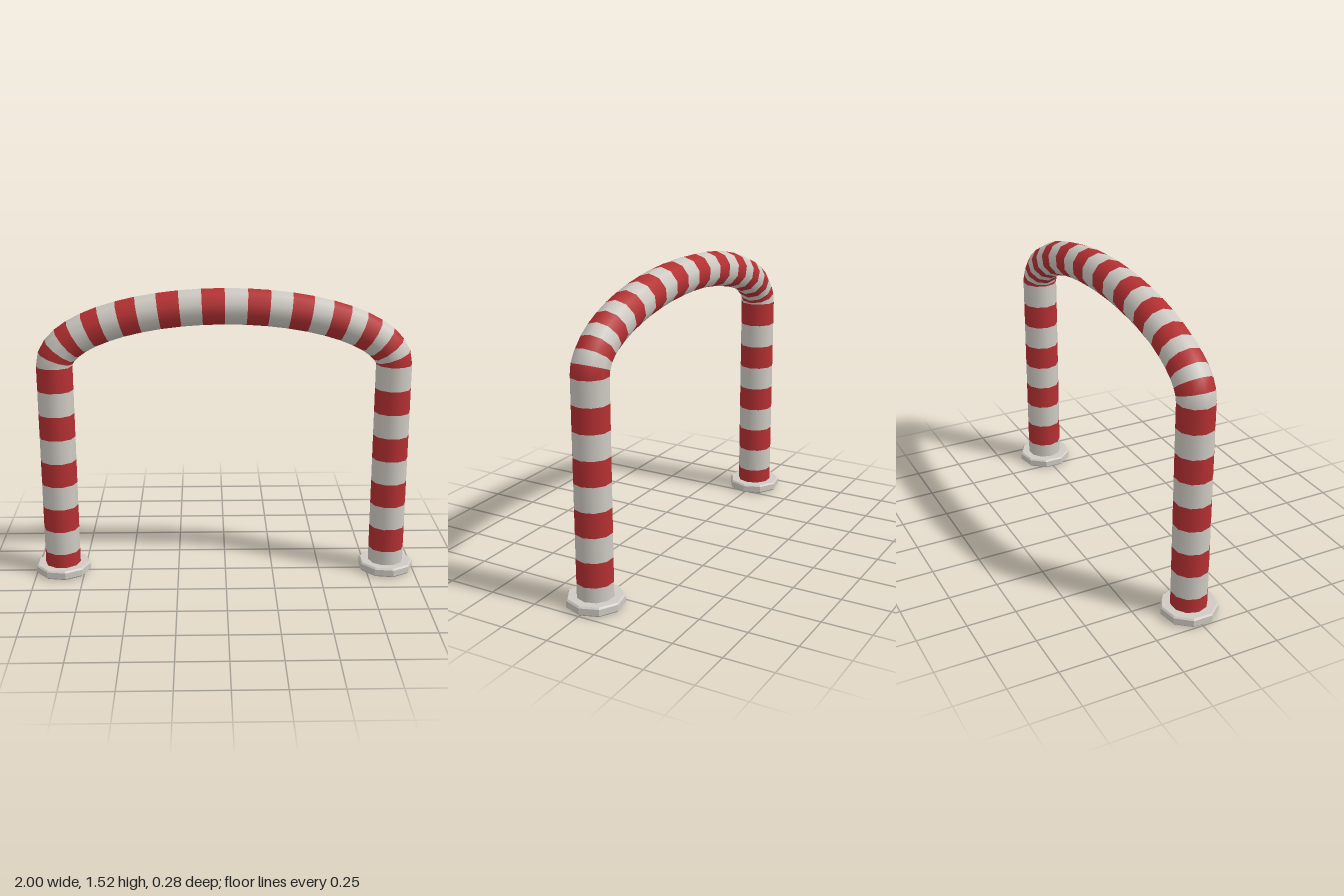
import * as THREE from 'three';

const SIDES = 10, PIPE_R = 0.092;
const LEFT_X = -0.864, RIGHT_X = 0.856;
const MID_X = (LEFT_X + RIGHT_X) / 2, HALF_W = (RIGHT_X - LEFT_X) / 2;
const BAND = 0.125, LEG_BANDS = 9, LEG_H = BAND * LEG_BANDS;
const ARCH_BANDS = 24, ARCH_H = 0.3;

// Sweeps a pipe through rings {x, y, nx, ny}; bands alternate between materials 0 and 1
function stripedPipe(rings, firstBand) {
  const pos = [], nor = [], idx = [];
  for (const { x, y, nx, ny } of rings) {
    for (let j = 0; j <= SIDES; j++) {
      const a = (j / SIDES) * Math.PI * 2, c = Math.cos(a), s = Math.sin(a);
      pos.push(x + PIPE_R * c * nx, y + PIPE_R * c * ny, PIPE_R * s);
      nor.push(c * nx, c * ny, s);
    }
  }
  const g = new THREE.BufferGeometry();
  for (let i = 0; i < rings.length - 1; i++) {
    g.addGroup(idx.length, SIDES * 6, (i + firstBand) % 2);
    for (let j = 0; j < SIDES; j++) {
      const a = i * (SIDES + 1) + j, b = a + SIDES + 1;
      idx.push(a, a + 1, b + 1, a, b + 1, b);
    }
  }
  g.setAttribute('position', new THREE.Float32BufferAttribute(pos, 3));
  g.setAttribute('normal', new THREE.Float32BufferAttribute(nor, 3));
  g.setIndex(idx);
  return g;
}

// Nine-sided foot plate with chamfered rims and flat faces
function footGeometry() {
  const profile = [[0, 0.002], [0.136, 0.002], [0.144, 0.01], [0.144, 0.042], [0.136, 0.05], [0, 0.05]]
    .map(([r, y]) => new THREE.Vector2(r, y));
  const g = new THREE.LatheGeometry(profile, 9, Math.PI / 2).toNonIndexed();
  g.computeVertexNormals();
  return g;
}

export function createModel() {
  const red = new THREE.MeshStandardMaterial({ color: 0xb53032 });
  red.name = 'stripe red';
  const white = new THREE.MeshStandardMaterial({ color: 0xcfcac3 });
  white.name = 'warm white';

  const group = new THREE.Group();
  const add = (name, geometry, material) => {
    const mesh = new THREE.Mesh(geometry, material);
    mesh.name = name;
    group.add(mesh);
    return mesh;
  };

  // Legs: upwards on the -x side, downwards on the +x side
  const up = [], down = [], bow = [];
  for (let i = 0; i <= LEG_BANDS; i++) {
    up.push({ x: LEFT_X, y: i * BAND, nx: -1, ny: 0 });
    down.push({ x: RIGHT_X, y: LEG_H - i * BAND, nx: 1, ny: 0 });
  }

  // Arch: half ellipse with rings square to the curve
  for (let i = 0; i <= ARCH_BANDS; i++) {
    const t = Math.PI * (1 - i / ARCH_BANDS), c = Math.cos(t), s = Math.sin(t);
    const n = new THREE.Vector2(c / HALF_W, s / ARCH_H).normalize();
    bow.push({ x: MID_X + HALF_W * c, y: LEG_H + ARCH_H * s, nx: n.x, ny: n.y });
  }

  const stripes = [red, white];
  add('rightLeg', stripedPipe(up, 0), stripes);
  add('arch', stripedPipe(bow, 1), stripes);
  add('leftLeg', stripedPipe(down, 1), stripes);

  // Feet
  const foot = footGeometry();
  add('rightFoot', foot, white).position.x = LEFT_X;
  add('leftFoot', foot, white).position.x = RIGHT_X;

  // Pipe end showing under the left foot
  const end = add('leftPipeEnd', new THREE.CircleGeometry(PIPE_R, SIDES), red);
  end.rotation.x = Math.PI / 2;
  end.position.x = RIGHT_X;

  return group;
}
